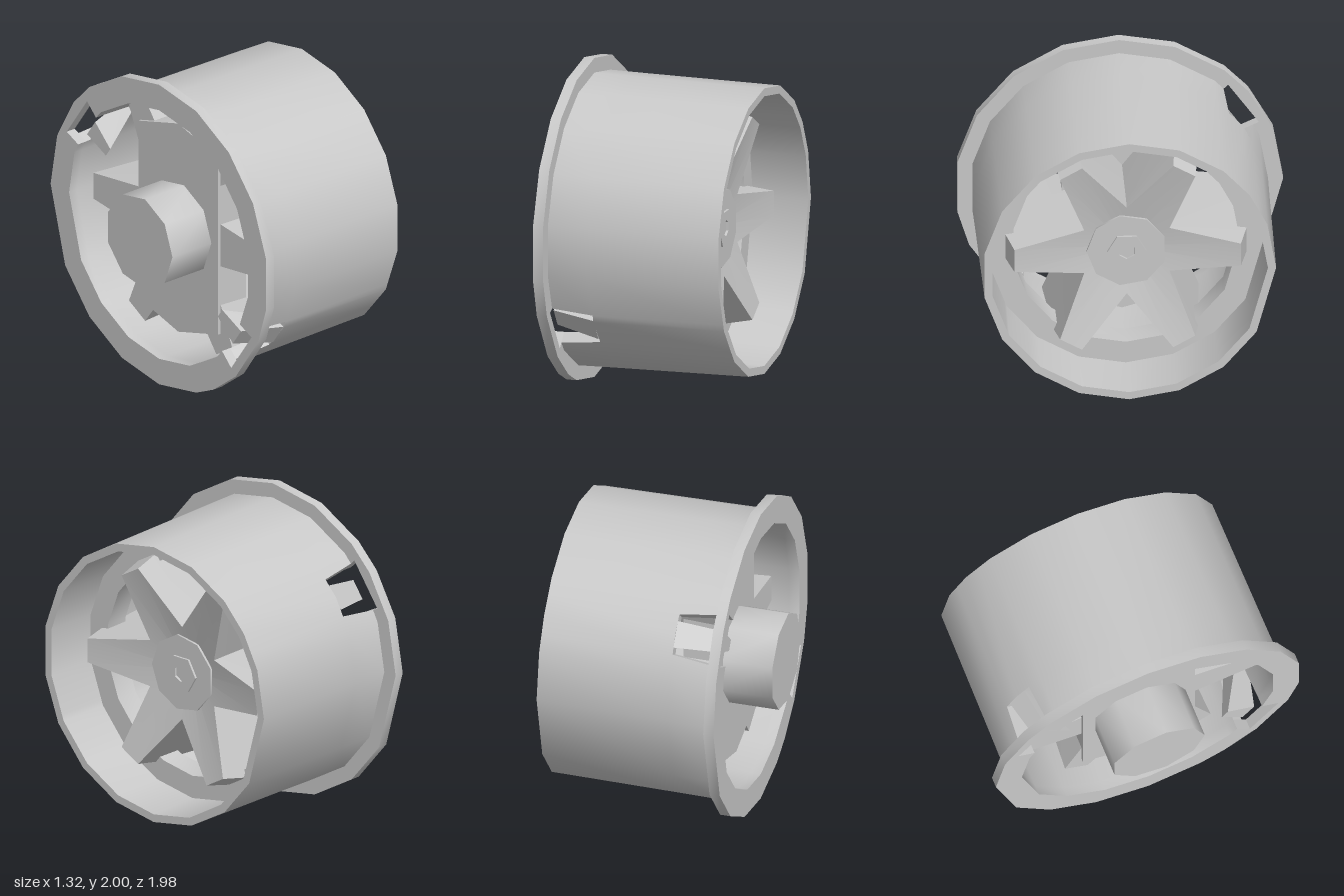
import * as THREE from 'three';
import { toCreasedNormals } from 'three/addons/utils/BufferGeometryUtils.js';
import { ConvexGeometry } from 'three/addons/geometries/ConvexGeometry.js';

const rad = THREE.MathUtils.degToRad;
const SLOTS = [35, 215]; // rim slot centres in degrees
// Corner angles of the rim, which is slightly uneven on one side
const RIM = [0, 20, 35, 50, 70, 90, 110, 130, 150, 170, 190, 210, 230, 250, 270, 290, 310, 330];

// Point at angle a (degrees), radius r, axial position z
const polar = (a, r, z = 0) => [r * Math.cos(rad(a)), r * Math.sin(rad(a)), z];
const points2 = (angles, r) => angles.map((a) => new THREE.Vector2(...polar(a, r).slice(0, 2)));
const ngon = (n, r, start) => points2(Array.from({ length: n }, (_, i) => start + (i * 360) / n), r);

// Radius of the rim outline at any angle
function rimRadius(a, r) {
  const i = RIM.findLastIndex((v) => v <= a);
  const next = i + 1 < RIM.length ? RIM[i + 1] : 360;
  return (r * Math.cos(rad((next - RIM[i]) / 2))) / Math.cos(rad(a - (RIM[i] + next) / 2));
}

// Prism between two axial positions, with an optional hole
function prism(outer, z0, z1, hole) {
  const shape = new THREE.Shape(outer);
  if (hole) shape.holes.push(new THREE.Path(hole));
  const geo = new THREE.ExtrudeGeometry(shape, { depth: z1 - z0, bevelEnabled: false });
  geo.translate(0, 0, z0);
  return toCreasedNormals(geo, 0.75);
}

function fromTriangles(pos, crease) {
  const geo = new THREE.BufferGeometry();
  geo.setAttribute('position', new THREE.Float32BufferAttribute(pos, 3));
  return toCreasedNormals(geo, crease);
}

const quad = (pos, a, b, c, d) => pos.push(...a, ...b, ...c, ...a, ...c, ...d);

// Tapered rim wall with two notches at its rear edge
function barrelGeometry() {
  const rows = [
    { z: -0.435, out: 0.908, inn: 0.83, half: 10 },
    { z: -0.18, out: 0.904, inn: 0.833, half: 8 },
    { z: 0.655, out: 0.895, inn: 0.845, half: 8 },
  ];
  const columns = RIM.map((a) => ({ a, side: 0 }));
  for (const a of SLOTS) for (const side of [-1, 1]) columns.push({ a, side });
  const at = (c, row) => c.a + c.side * row.half;
  columns.sort((p, q) => at(p, rows[0]) - at(q, rows[0]));
  const P = (c, row, key) => {
    const a = at(c, row);
    return polar(a, rimRadius(a, row[key]), row.z);
  };
  const pos = [];
  const [back, mid, front] = rows;
  columns.forEach((c, i) => {
    const d = columns[(i + 1) % columns.length];
    const centre = (at(c, back) + at(d, back)) / 2;
    const open = i + 1 < columns.length && SLOTS.some((s) => Math.abs(centre - s) < 10);
    for (const [r0, r1] of [[back, mid], [mid, front]]) {
      if (open && r0 === back) continue;
      quad(pos, P(c, r0, 'out'), P(d, r0, 'out'), P(d, r1, 'out'), P(c, r1, 'out'));
      quad(pos, P(d, r0, 'inn'), P(c, r0, 'inn'), P(c, r1, 'inn'), P(d, r1, 'inn'));
    }
    // Front lip and rear edge
    quad(pos, P(c, front, 'inn'), P(c, front, 'out'), P(d, front, 'out'), P(d, front, 'inn'));
    const e = open ? mid : back;
    quad(pos, P(d, e, 'inn'), P(d, e, 'out'), P(c, e, 'out'), P(c, e, 'inn'));
    // Slot side walls
    const wall = [P(c, back, 'inn'), P(c, back, 'out'), P(c, mid, 'out'), P(c, mid, 'inn')];
    if (c.side < 0) wall.reverse();
    if (c.side) quad(pos, ...wall);
  });
  return fromTriangles(pos, 0.6);
}

// Six drafted spokes in one star with a dished face, flaring towards the back
function starGeometry() {
  const ring = (z, tip, half, valley, valleyZ) => {
    const out = [];
    for (let a = 0; a < 360; a += 60) {
      const d = THREE.MathUtils.radToDeg(Math.atan2(half, tip));
      const r = Math.hypot(half, tip);
      out.push(polar(a - d, r, z), polar(a + d, r, z), polar(a + 30, valley, valleyZ));
    }
    return out;
  };
  const rings = [
    ring(-0.325, 0.805, 0.086, 0.305, -0.325),
    ring(0.3, 0.735, 0.083, 0.305, 0.3),
    ring(0.485, 0.69, 0.077, 0.3, 0.395),
  ];
  const pos = [];
  const n = rings[0].length;
  for (let i = 0; i < n; i++) {
    const j = (i + 1) % n;
    for (let k = 0; k < 2; k++) quad(pos, rings[k][i], rings[k][j], rings[k + 1][j], rings[k + 1][i]);
    pos.push(0, 0, 0.325, ...rings[2][i], ...rings[2][j]);
    pos.push(0, 0, -0.325, ...rings[0][j], ...rings[0][i]);
  }
  return fromTriangles(pos, 0.2);
}

// Sloping fin in a slot, wider towards the outside
function tabGeometry(slot) {
  const ends = [
    { z: -0.46, r: [0.63, 0.82], half: [0.035, 0.065] },
    { z: -0.18, r: [0.8, 0.895], half: [0.065, 0.082] },
  ];
  const corners = [];
  for (const { z, r, half } of ends)
    for (const k of [0, 1])
      for (const side of [-1, 1]) corners.push(new THREE.Vector3(r[k], side * half[k], z));
  return new ConvexGeometry(corners).rotateZ(rad(slot));
}

export function createModel() {
  const metal = new THREE.MeshStandardMaterial({ color: 0xc8c8c8 });
  metal.name = 'grey metal';
  const model = new THREE.Group();
  model.name = 'wheel';
  const wheel = new THREE.Group();
  wheel.name = 'wheelAssembly';
  const add = (name, geo) => {
    const mesh = new THREE.Mesh(geo, metal);
    mesh.name = name;
    wheel.add(mesh);
  };

  add('rimBarrel', barrelGeometry());

  // Rear flange, its bore cut wider at the two slots
  const flangeAngles = [0, 20, 38, 50, 70, 90, 110, 130, 150, 170, 190, 204, 225, 240, 250, 270, 290, 310, 330];
  const bore = [];
  for (const a of RIM) {
    const slot = SLOTS.find((s) => Math.abs(a - s) < 10);
    if (slot === undefined) {
      bore.push(...points2([a], 0.83));
      continue;
    }
    const [a0, a1] = [slot - 10, slot + 10];
    bore.push(
      ...points2([a0], rimRadius(a0, 0.83)), ...points2([a0, a1], 0.94),
      ...points2([a1], rimRadius(a1, 0.83)),
    );
  }
  add('rearFlange', prism(points2(flangeAngles, 1), -0.5, -0.435, bore));

  // Inner ring carrying the spokes
  add('innerRing', prism(points2(RIM, 0.86), 0.14, 0.3, points2(RIM, 0.695)));
  add('spokes', starGeometry());

  // Centre cap and hollow hexagonal nut
  add('centreCap', prism(ngon(9, 0.245, 20), 0.3, 0.395));
  add('hubNut', prism(ngon(6, 0.12, 0), 0.37, 0.41, ngon(6, 0.052, 30)));

  // Rear plate with straight sides and pointed ends, and the hub behind it
  const plate = points2([58, 90, 122, 238, 270, 302], 0.695);
  add('backPlate', prism(plate, -0.345, -0.12));
  add('rearHub', prism(ngon(9, 0.305, 20), -0.66, -0.3));

  for (const s of SLOTS) add('slotTab', tabGeometry(s));

  wheel.rotation.y = Math.PI / 2;
  wheel.position.y = 1;
  model.add(wheel);
  return model;
}
